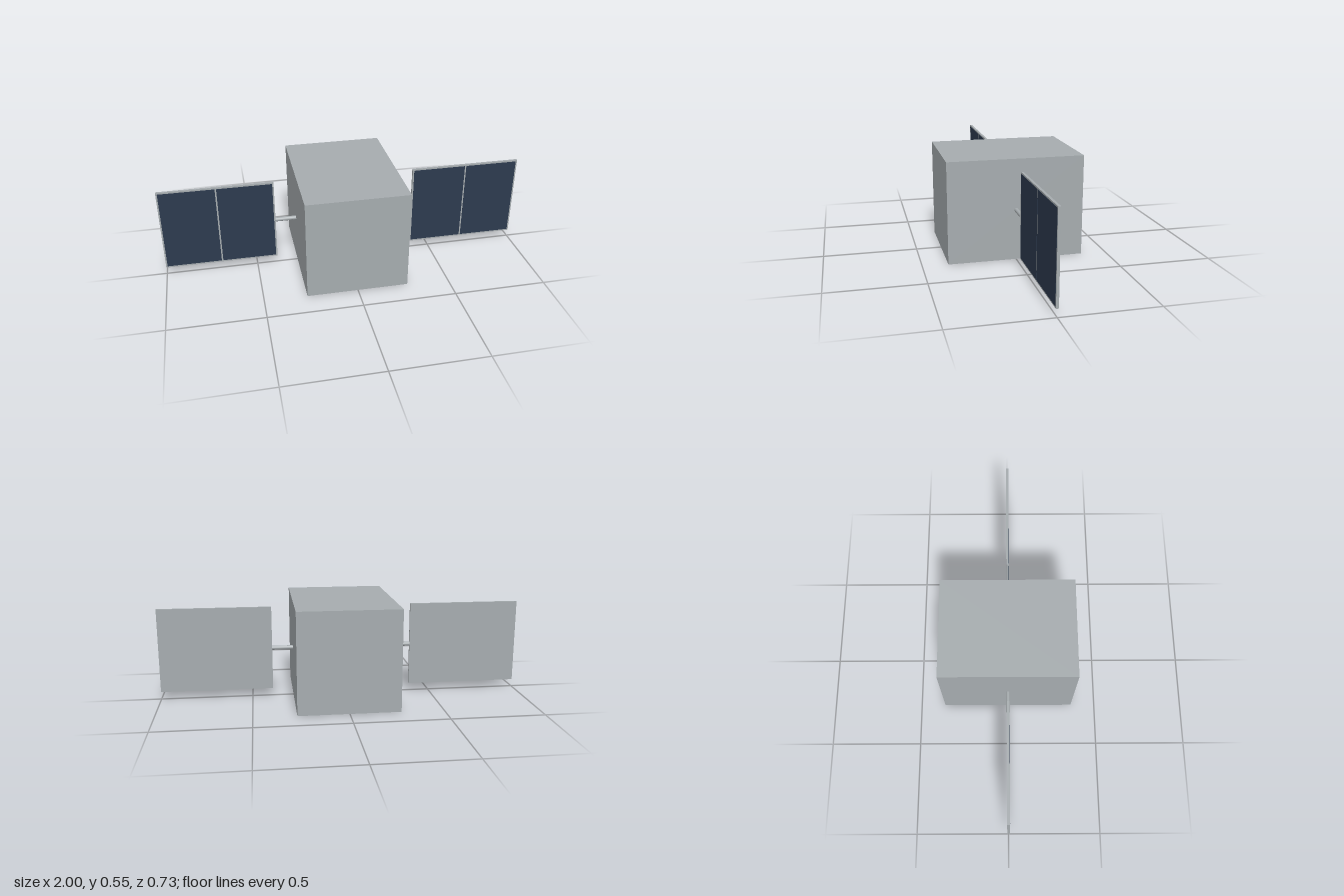
import * as THREE from 'three';

export function createModel() {
  const model = new THREE.Group();
  const hullGrey = new THREE.MeshStandardMaterial({ color: 0xa6acaf });
  hullGrey.name = 'hull grey';
  const cellBlue = new THREE.MeshStandardMaterial({ color: 0x2c3a4e });
  cellBlue.name = 'solar cell blue';

  const midY = 0.273;

  function box(parent, name, size, position, material) {
    const mesh = new THREE.Mesh(new THREE.BoxGeometry(...size), material);
    mesh.name = name;
    mesh.position.set(...position);
    parent.add(mesh);
  }

  // Main body
  box(model, 'body', [0.545, 0.546, 0.728], [0, midY, 0], hullGrey);

  // One wing per side: arm, panel and two solar cells on the front
  for (const side of [-1, 1]) {
    const wing = new THREE.Group();
    wing.name = side > 0 ? 'leftWing' : 'rightWing';
    wing.position.y = midY;
    model.add(wing);

    const arm = new THREE.Mesh(new THREE.CylinderGeometry(0.0115, 0.0115, 0.125, 16), hullGrey);
    arm.name = 'arm';
    arm.rotation.z = Math.PI / 2;
    arm.position.x = side * 0.3235;
    wing.add(arm);

    box(wing, 'panel', [0.614, 0.462, 0.0136], [side * 0.693, 0, 0], hullGrey);
    for (const offset of [-0.1515, 0.1515]) {
      box(wing, 'solarCell', [0.295, 0.446, 0.002], [side * 0.693 + offset, 0, 0.0068], cellBlue);
    }
  }

  return model;
}
